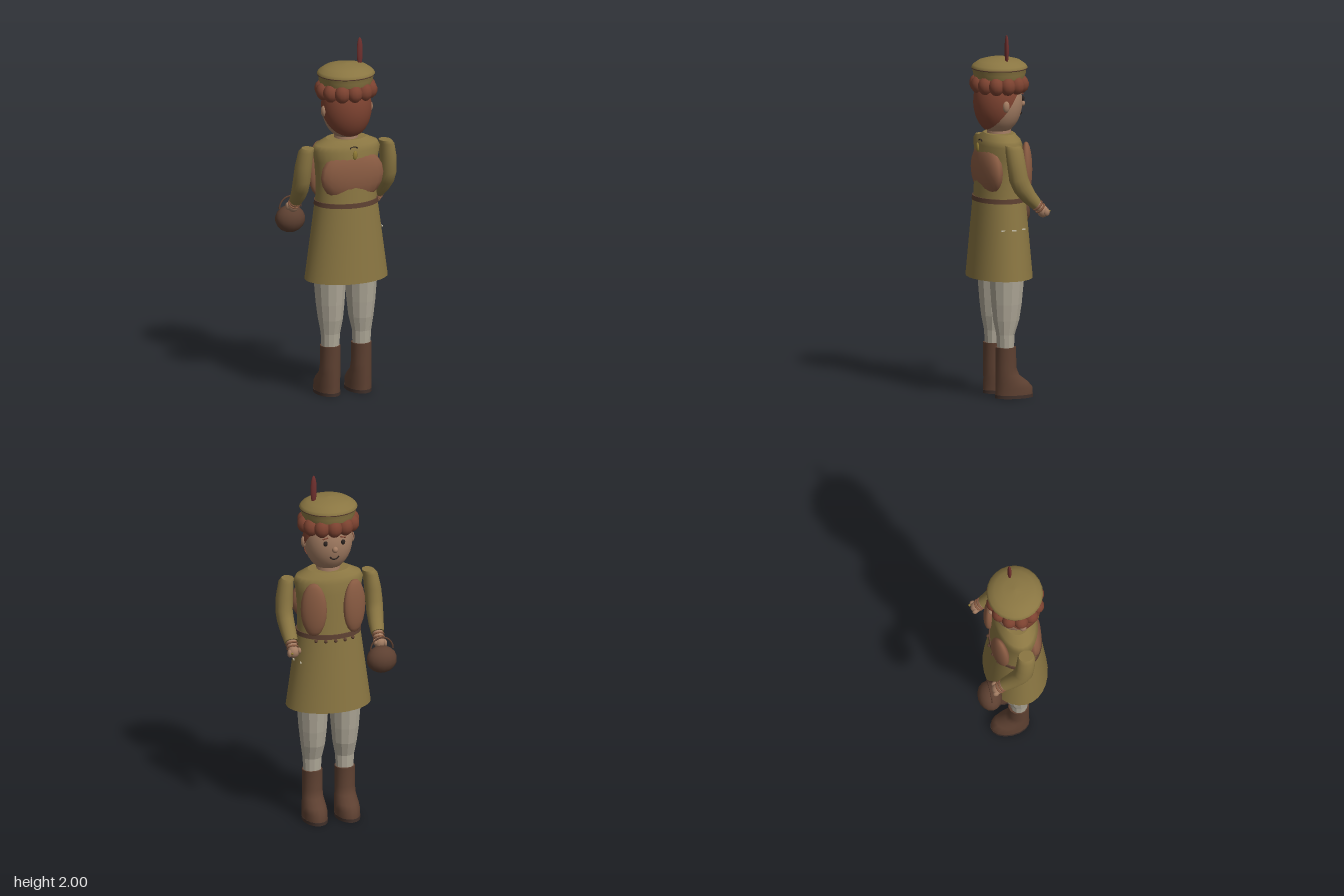
import * as THREE from 'three';

const CX = 0.014, CZ = 0.046; // body axis; the figure looks toward -z
const mat = (color, flatShading = false, side = THREE.FrontSide) =>
  new THREE.MeshStandardMaterial({ color, flatShading, side });
const olive = mat(0x8a7642), oliveOpen = mat(0x8a7642, false, THREE.DoubleSide);
const hairMat = mat(0x7c4230), hairOpen = mat(0x7c4230, false, THREE.DoubleSide);
const skin = mat(0xa27c62), padMat = mat(0x895b42), leather = mat(0x5d4031);
const hose = mat(0xaea797, true), dark = mat(0x2c2320), red = mat(0x70302e), brass = mat(0x8f7a35);
const soleMat = mat(0x40302a), pale = mat(0xc8c0a8);

// Skin elliptical rings [x, y, z, radiusX, radiusZ, tilt] listed from bottom to top
function loft(rings, n, capped = true) {
  const pos = [], idx = [];
  const addRing = ([x, y, z, rx, rz, t = 0]) => {
    for (let j = 0; j < n; j++) {
      const a = (j / n) * Math.PI * 2, v = rz * Math.sin(a);
      pos.push(x + rx * Math.cos(a), y + v * Math.sin(t), z + v * Math.cos(t));
    }
  };
  rings.forEach(addRing);
  for (let i = 0; i < rings.length - 1; i++) {
    for (let j = 0; j < n; j++) {
      const a = i * n + j, b = i * n + (j + 1) % n;
      idx.push(a, a + n, b, b, a + n, b + n);
    }
  }
  if (capped) {
    [rings[0], rings[rings.length - 1]].forEach((r, end) => {
      const start = pos.length / 3;
      addRing(r);
      pos.push(r[0], r[1], r[2]);
      for (let j = 0; j < n; j++) {
        const a = start + j, b = start + (j + 1) % n;
        idx.push(start + n, end ? b : a, end ? a : b);
      }
    });
  }
  const g = new THREE.BufferGeometry();
  g.setAttribute('position', new THREE.Float32BufferAttribute(pos, 3));
  g.setIndex(idx);
  g.computeVertexNormals();
  return g;
}

export function createModel() {
  const root = new THREE.Group();
  const add = (name, geo, material, x = 0, y = 0, z = 0, parent = root) => {
    const m = new THREE.Mesh(geo, material);
    m.name = name;
    m.position.set(x, y, z);
    parent.add(m);
    return m;
  };
  const ball = (name, material, x, y, z, rx, ry = rx, rz = rx, seg = 16, parent = root) => {
    const m = add(name, new THREE.SphereGeometry(1, seg, Math.max(6, seg * 0.6 | 0)), material, x, y, z, parent);
    m.scale.set(rx, ry, rz);
    return m;
  };
  const axial = rows => rows.map(([y, rx, rz]) => [CX, y, CZ, rx, rz]);

  // Tunic: open skirt, belt, torso with sloping shoulders
  add('skirt', loft(axial([[0.66, 0.236, 0.174], [0.88, 0.206, 0.156], [1.1, 0.176, 0.138]]), 28, false), oliveOpen);
  add('belt', loft(axial([[1.08, 0.182, 0.144], [1.105, 0.18, 0.142]]), 28), leather);
  add('torso', loft(axial([[1.09, 0.174, 0.136], [1.22, 0.172, 0.128], [1.33, 0.182, 0.122],
    [1.39, 0.195, 0.115], [1.42, 0.18, 0.104], [1.45, 0.115, 0.08]]), 28), olive);
  add('neck', new THREE.CylinderGeometry(0.06, 0.07, 0.1, 16), skin, CX, 1.46, CZ);

  // Padded panels on back and chest
  ball('backPanel', padMat, CX + 0.006, 1.25, 0.118, 0.185, 0.153, 0.064, 18);
  for (const s of [-1, 1]) {
    const p = ball('chestPanel', padMat, CX + s * 0.115, 1.255, -0.067, 0.072, 0.155, 0.034, 18);
    p.rotation.y = -s * 0.4;
  }

  // Belt studs on the chest side, hanging loop on the back
  for (let i = -2; i <= 2; i++) {
    const a = i * 0.3;
    ball('beltStud', leather, CX + Math.sin(a) * 0.184, 1.072, CZ - Math.cos(a) * 0.146, 0.01, 0.01, 0.01, 8);
  }
  add('collarLoop', new THREE.TorusGeometry(0.02, 0.004, 6, 10, Math.PI), dark, CX, 1.408, 0.155).scale.y = 0.5;
  ball('collarBead', brass, CX, 1.375, 0.172, 0.014, 0.026, 0.008, 8);

  // Pocket stitches on one side of the skirt
  for (const z of [0.095, 0.035, -0.025]) {
    const x = CX + 0.2 * Math.sqrt(1 - ((z - CZ) / 0.153) ** 2);
    add('pocketStitch', new THREE.BoxGeometry(0.006, 0.007, 0.025), pale, x, 0.937, z)
      .rotation.y = (z - CZ) * 2.5;
  }

  // Legs, boots, arms and hands, mirrored about the body axis
  for (const s of [-1, 1]) {
    const side = new THREE.Group();
    side.name = s > 0 ? 'leftLimbs' : 'rightLimbs';
    side.position.x = CX;
    root.add(side);

    add('leg', loft([[s * 0.092, 0.27, 0.044, 0.05, 0.046], [s * 0.092, 0.35, 0.045, 0.054, 0.05],
      [s * 0.09, 0.43, 0.04, 0.068, 0.073], [s * 0.091, 0.52, 0.038, 0.078, 0.085],
      [s * 0.092, 0.66, 0.037, 0.088, 0.097], [s * 0.09, 0.76, 0.04, 0.085, 0.095]], 12), hose, 0, 0, 0, side);
    add('boot', loft([[s * 0.092, 0.015, -0.006, 0.067, 0.107], [s * 0.092, 0.055, -0.005, 0.067, 0.106],
      [s * 0.092, 0.085, 0.008, 0.064, 0.092], [s * 0.092, 0.125, 0.034, 0.058, 0.066],
      [s * 0.092, 0.17, 0.042, 0.056, 0.057], [s * 0.092, 0.28, 0.043, 0.056, 0.057]], 16), leather, 0, 0, 0, side);
    add('sole', loft([[s * 0.092, 0, -0.006, 0.068, 0.109], [s * 0.092, 0.018, -0.006, 0.068, 0.109]], 16),
      soleMat, 0, 0, 0, side);

    add('sleeve', loft([[s * 0.245, 1.085, -0.075, 0.037, 0.034, -0.9], [s * 0.248, 1.125, -0.035, 0.042, 0.042, -0.8],
      [s * 0.253, 1.18, 0.008, 0.046, 0.051, -0.6], [s * 0.255, 1.23, 0.031, 0.047, 0.053, -0.25],
      [s * 0.25, 1.31, 0.042, 0.046, 0.052, 0], [s * 0.238, 1.39, 0.05, 0.041, 0.05, 0],
      [s * 0.228, 1.41, 0.052, 0.033, 0.042, 0]], 18), olive, 0, 0, 0, side);
    add('wrist', loft([[s * 0.244, 1.05, -0.108, 0.027, 0.026, -0.9], [s * 0.245, 1.09, -0.07, 0.03, 0.028, -0.9]], 14),
      skin, 0, 0, 0, side);
    for (const t of [0, 1]) {
      const cuff = add('wristBand', new THREE.TorusGeometry(0.03, 0.005, 6, 16), padMat,
        s * 0.245, 1.075 - t * 0.015, -0.085 - t * 0.014, side);
      cuff.rotation.x = -0.75;
    }
    ball('palm', skin, s * 0.244, 1.042, -0.115, 0.032, 0.034, 0.03, 14, side);
    ball('thumb', skin, s * 0.216, 1.05, -0.124, 0.013, 0.018, 0.017, 10, side);
    ball('fingers', skin, s * 0.27, 1.04, -0.127, 0.013, 0.022, 0.018, 10, side);

    // Ear, eye and brow
    ball('ear', skin, s * 0.136, 1.61, 0.057, 0.016, 0.032, 0.02, 12, side);
    ball('eye', dark, s * 0.05, 1.637, -0.072, 0.012, 0.015, 0.01, 10, side);
    const brow = add('eyebrow', new THREE.CapsuleGeometry(0.004, 0.025, 3, 6), hairMat, s * 0.05, 1.665, -0.07, side);
    brow.rotation.z = Math.PI / 2 - s * 0.2;
  }
  ball('fingerRing', brass, 0.275, 1.045, -0.147, 0.008, 0.006, 0.006, 8);

  // Head, nose, mouth
  ball('head', skin, CX, 1.62, CZ + 0.004, 0.134, 0.178, 0.13, 28);
  ball('nose', skin, CX, 1.602, -0.088, 0.017, 0.018, 0.017, 12);
  const mouth = add('mouth', new THREE.TorusGeometry(0.026, 0.004, 6, 12, Math.PI * 0.8), dark, CX, 1.568, -0.074);
  mouth.rotation.z = Math.PI * 1.1;

  // Hair: a shell cut along a slope from brow to nape, plus a ring of curls
  const shell = new THREE.SphereGeometry(1, 28, 16, 0, Math.PI * 2, 0, 1.72);
  shell.rotateX(0.8);
  const hair = add('hair', shell, hairOpen, CX, 1.62, CZ + 0.004);
  hair.scale.set(0.139, 0.184, 0.137);
  for (let i = 0; i < 12; i++) {
    const a = (i / 12) * Math.PI * 2;
    ball('curl', hairMat, CX + 0.132 * Math.sin(a), 1.72, CZ + 0.12 * Math.cos(a), 0.044, 0.05, 0.042, 12);
  }

  // Cap with a shallow dome, seam and feather
  const capProfile = [[0.142, 1.755], [0.15, 1.78], [0.154, 1.808], [0.16, 1.81], [0.15, 1.825],
    [0.118, 1.847], [0.065, 1.861], [0, 1.866]].map(p => new THREE.Vector2(...p));
  add('cap', new THREE.LatheGeometry(capProfile, 24), oliveOpen, CX, 0, CZ - 0.002).scale.z = 0.96;
  const seam = add('capSeam', new THREE.TorusGeometry(0.155, 0.004, 6, 28), leather, CX, 1.807, CZ - 0.002);
  seam.rotation.x = Math.PI / 2;
  seam.scale.y = 0.96;
  ball('feather', red, 0.1, 1.917, 0.035, 0.018, 0.083, 0.011, 12);

  // Round basket with an arched handle
  ball('basket', leather, -0.23, 0.96, -0.156, 0.085, 0.076, 0.067, 16);
  const handle = add('basketHandle', new THREE.TorusGeometry(0.063, 0.005, 6, 20, Math.PI), leather, -0.23, 1.02, -0.157);
  handle.scale.y = 1.05;

  return root;
}
